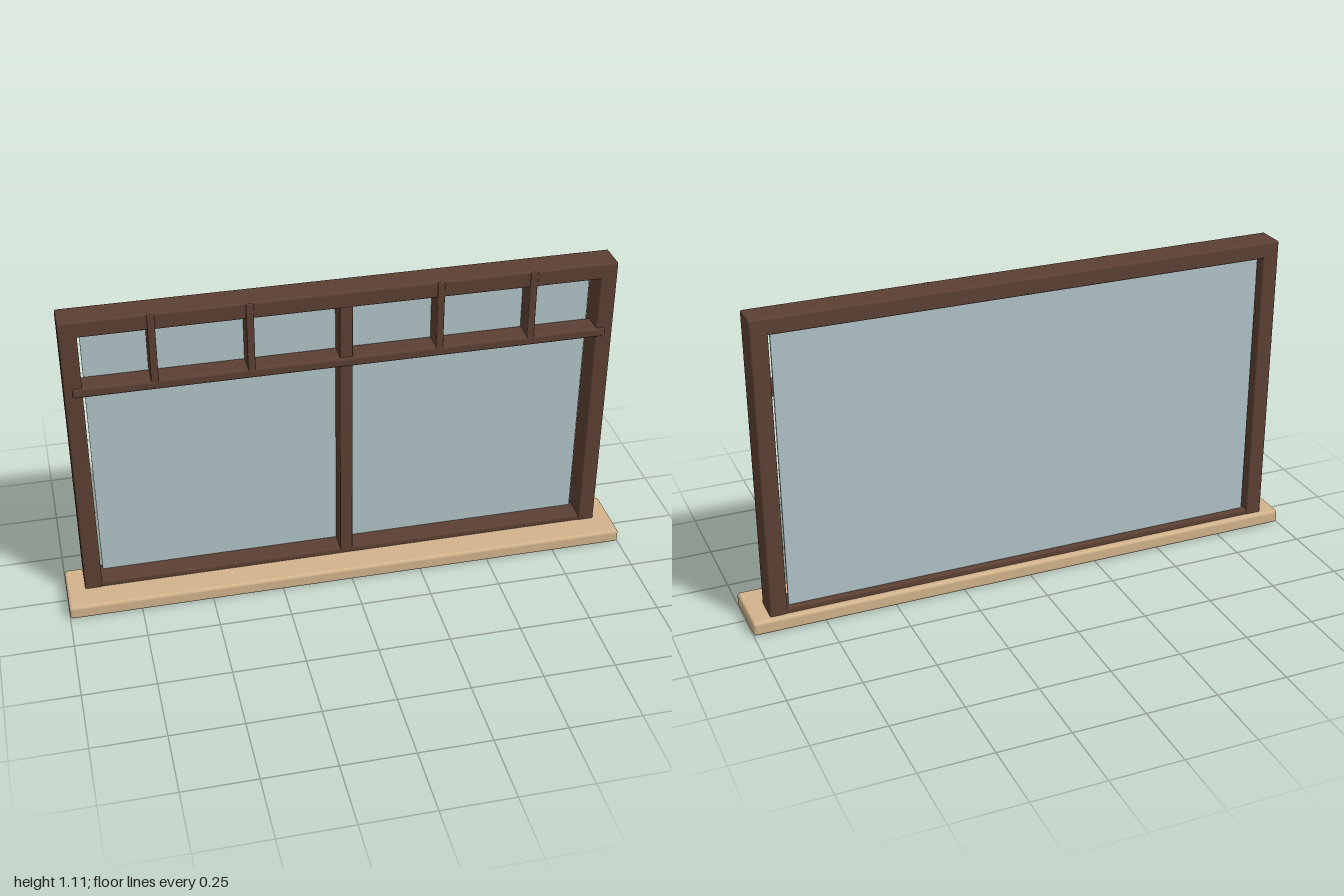
import * as THREE from 'three';
import { RoundedBoxGeometry } from 'three/addons/geometries/RoundedBoxGeometry.js';

const wood = new THREE.MeshStandardMaterial({ color: 0x5c4033 });
const sillWood = new THREE.MeshStandardMaterial({ color: 0xd2b48c });
const glass = new THREE.MeshStandardMaterial({ color: 0xb0c4c8 });

export function createModel() {
  const window = new THREE.Group();
  window.name = 'window';

  // Rounded bar given by its limits on each axis
  function bar(name, [x0, x1], [y0, y1], [z0, z1], radius, material = wood) {
    const geometry = new RoundedBoxGeometry(x1 - x0, y1 - y0, z1 - z0, 3, radius);
    const mesh = new THREE.Mesh(geometry, material);
    mesh.position.set((x0 + x1) / 2, (y0 + y1) / 2, (z0 + z1) / 2);
    mesh.name = name;
    window.add(mesh);
  }

  // Sill
  bar('sill', [-1, 1], [0, 0.05], [-0.11, 0.11], 0.011, sillWood);

  // Outer frame
  const depth = [-0.09, 0.013];
  bar('leftPost', [0.876, 0.936], [0.02, 1.11], depth, 0.007);
  bar('rightPost', [-0.936, -0.876], [0.02, 1.11], depth, 0.007);
  bar('topRail', [-0.934, 0.934], [1.052, 1.11], depth, 0.007);
  bar('bottomRail', [-0.9, 0.9], [0.012, 0.07], [-0.088, 0.011], 0.007);

  // Glass pane, set toward the back
  const pane = new THREE.Mesh(new THREE.BoxGeometry(1.732, 1.02, 0.008), glass);
  pane.name = 'glassPane';
  pane.position.set(0, 0.56, -0.065);
  window.add(pane);

  // Centre mullion and transom
  bar('centreMullion', [-0.022, 0.022], [0.055, 1.065], [-0.065, 0.011], 0.004);
  bar('transom', [-0.91, 0.91], [0.83, 0.866], [-0.062, 0.018], 0.01);

  // Short bars dividing the upper lights
  for (const x of [-0.64, -0.32, 0.32, 0.64]) {
    bar('upperGlazingBar', [x - 0.0125, x + 0.0125], [0.845, 1.108], [-0.062, 0.017], 0.004);
  }

  return window;
}
